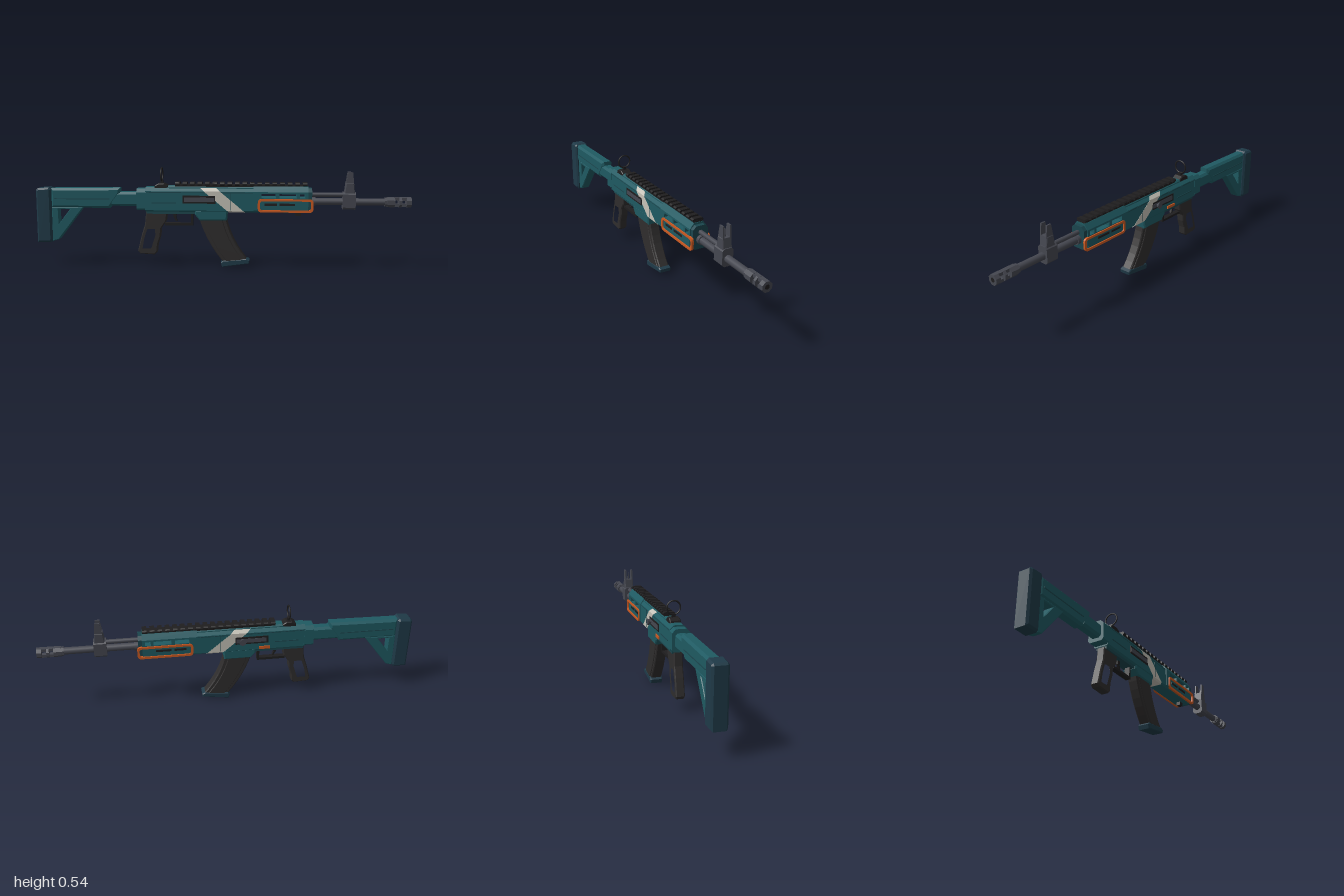
import * as THREE from 'three';

const mat = (name, color) => {
  const m = new THREE.MeshStandardMaterial({ color });
  m.name = name;
  return m;
};

export function createModel() {
  const teal = mat('teal', 0x1f5a62);
  const darkTeal = mat('dark teal', 0x1b464e);
  const navy = mat('navy', 0x1f3a48);
  const black = mat('black', 0x2f2d2d);
  const railBlack = mat('rail black', 0x1f1e1f);
  const steel = mat('gunmetal', 0x454750);
  const orange = mat('orange', 0xcc5a22);
  const pale = mat('pale grey', 0xc6c3b8);

  const root = new THREE.Group();
  root.name = 'rifle';
  const add = (name, geo, material, x = 0, y = 0, z = 0) => {
    const m = new THREE.Mesh(geo, material);
    m.name = name;
    m.position.set(x, y, z);
    root.add(m);
    return m;
  };
  const box = (name, material, x0, x1, y0, y1, z0, z1) =>
    add(name, new THREE.BoxGeometry(x1 - x0, y1 - y0, z1 - z0), material,
      (x0 + x1) / 2, (y0 + y1) / 2, (z0 + z1) / 2);
  const toShape = pts => new THREE.Shape(pts.map(p => new THREE.Vector2(p[0], p[1])));

  // side outline, given width across z, with a small chamfer
  const plate = (name, material, outline, width, bevel = 0.006, hole = null, z = 0) => {
    const s = Array.isArray(outline) ? toShape(outline) : outline;
    if (hole) s.holes.push(toShape(hole));
    const g = new THREE.ExtrudeGeometry(s, {
      depth: width - 2 * bevel, bevelEnabled: bevel > 0, bevelSize: bevel,
      bevelThickness: bevel, bevelOffset: -bevel, bevelSegments: 1, curveSegments: 6,
    });
    g.translate(0, 0, bevel - width / 2);
    return add(name, g, material, 0, 0, z);
  };

  // chamfered cross-section swept along x
  const section = (w, y0, y1, top, bottom) => [
    [-w + bottom, y0], [w - bottom, y0], [w, y0 + bottom], [w, y1 - top],
    [w - top, y1], [-w + top, y1], [-w, y1 - top], [-w, y0 + bottom]];
  const prism = (name, material, x0, x1, pts) => {
    const g = new THREE.ExtrudeGeometry(toShape(pts), { depth: x1 - x0, bevelEnabled: false });
    g.rotateY(Math.PI / 2);
    return add(name, g, material, x0);
  };
  const rod = (name, material, x0, x1, y, r) => {
    const g = new THREE.CylinderGeometry(r, r, x1 - x0, 16);
    g.rotateZ(-Math.PI / 2);
    return add(name, g, material, (x0 + x1) / 2, y, 0);
  };

  // Stock
  plate('buttPad', navy, [[-1, 0.125], [-0.925, 0.125], [-0.918, 0.14], [-0.918, 0.415],
    [-0.93, 0.425], [-0.99, 0.42], [-1, 0.41]], 0.08, 0.01);
  plate('stockBody', teal, [[-0.92, 0.315], [-0.6, 0.315], [-0.543, 0.395], [-0.543, 0.425],
    [-0.92, 0.42]], 0.064, 0.012);
  plate('stockStrut', teal, [[-0.92, 0.32], [-0.745, 0.32], [-0.885, 0.14], [-0.92, 0.13]], 0.052, 0.004,
    [[-0.882, 0.306], [-0.882, 0.225], [-0.82, 0.306]]);
  for (const s of [-1, 1]) box('stockGroove', darkTeal, -0.9, -0.6, 0.362, 0.367, s * 0.032 - 0.002, s * 0.032 + 0.002);
  prism('bufferTube', teal, -0.59, -0.44, section(0.03, 0.327, 0.402, 0.012, 0.012));
  prism('rearCollar', teal, -0.452, -0.4, section(0.045, 0.308, 0.422, 0.018, 0.01));

  // Receiver
  prism('receiver', teal, -0.405, 0.172, section(0.043, 0.3, 0.43, 0.02, 0.008));
  prism('topCover', teal, -0.29, 0.172, section(0.028, 0.42, 0.438, 0.008, 0.001));
  box('lowerRail', darkTeal, -0.4, -0.13, 0.287, 0.302, -0.03, 0.03);
  plate('magazineWell', teal, [[-0.14, 0.31], [0.035, 0.31], [0.03, 0.255], [-0.115, 0.255], [-0.14, 0.285]], 0.08, 0.006);
  box('receiverSeam', darkTeal, 0.05, 0.054, 0.31, 0.405, -0.0445, 0.0445);
  box('coverSeam', darkTeal, -0.4, 0.17, 0.402, 0.406, -0.0438, 0.0438);

  // slanted stripe wrapped around the receiver
  const stripe = prism('slantedStripe', pale, -0.043, 0.043,
    section(0.0442, 0.2988, 0.4312, 0.02, 0.008));
  stripe.geometry.applyMatrix4(new THREE.Matrix4().set(
    1, -1.2, 0, 1.2 * 0.368, 0, 1, 0, 0, 0, 0, 1, 0, 0, 0, 0, 1));
  stripe.geometry.computeVertexNormals();
  stripe.position.x = -0.04;

  // Bolt, charging handle and selector
  for (const s of [-1, 1]) {
    box('ejectionPort', railBlack, -0.205, -0.03, 0.346, 0.388, s * 0.043 - 0.003, s * 0.043 + 0.003);
    box('boltCarrier', steel, -0.195, -0.035, 0.355, 0.378, s * 0.045 - 0.003, s * 0.045 + 0.003);
    box('lowerPanel', darkTeal, -0.37, -0.24, 0.345, 0.35, s * 0.043 - 0.002, s * 0.043 + 0.002);
  }
  const handle = add('chargingHandle', new THREE.CylinderGeometry(0.007, 0.007, 0.022, 10), steel, -0.065, 0.367, -0.05);
  const knob = add('chargingKnob', new THREE.CylinderGeometry(0.018, 0.014, 0.011, 12), steel, -0.065, 0.367, -0.0615);
  handle.rotation.x = knob.rotation.x = -Math.PI / 2;
  box('selector', orange, -0.215, -0.155, 0.31, 0.326, -0.048, -0.042);

  // Handguard with open side slots
  prism('handguardLower', teal, 0.172, 0.46, [[-0.035, 0.3], [0.035, 0.3], [0.047, 0.312], [0.047, 0.378], [-0.047, 0.378], [-0.047, 0.312]]);
  prism('handguardUpper', teal, 0.172, 0.46, [[-0.047, 0.4], [0.047, 0.4], [0.047, 0.41], [0.026, 0.438], [-0.026, 0.438], [-0.047, 0.41]]);
  for (const [a, b] of [[0.172, 0.215], [0.29, 0.308], [0.4, 0.415], [0.445, 0.46]])
    box('handguardRib', teal, a, b, 0.375, 0.402, -0.047, 0.047);
  // cap is two blocks so the barrel and gas tube enter solid ends
  prism('handguardCap', darkTeal, 0.455, 0.48, section(0.042, 0.306, 0.428, 0.018, 0.012));
  const roundRect = (Outline, x0, x1, y0, y1, r) => {
    const s = new Outline();
    s.moveTo(x0 + r, y0);
    s.lineTo(x1 - r, y0).quadraticCurveTo(x1, y0, x1, y0 + r);
    s.lineTo(x1, y1 - r).quadraticCurveTo(x1, y1, x1 - r, y1);
    s.lineTo(x0 + r, y1).quadraticCurveTo(x0, y1, x0, y1 - r);
    s.lineTo(x0, y0 + r).quadraticCurveTo(x0, y0, x0 + r, y0);
    return s;
  };
  for (const s of [-1, 1]) {
    const frame = roundRect(THREE.Shape, 0.195, 0.487, 0.303, 0.374, 0.022);
    frame.holes.push(roundRect(THREE.Path, 0.207, 0.475, 0.315, 0.362, 0.014));
    plate('handguardFrame', orange, frame, 0.012, 0, null, s * 0.047);
    for (const [a, b] of [[0.23, 0.295], [0.31, 0.39]])
      box('handguardVent', railBlack, a, b, 0.338, 0.35, s * 0.047 - 0.002, s * 0.047 + 0.002);
  }
  box('slingHook', railBlack, 0.395, 0.425, 0.28, 0.302, -0.012, 0.012);

  // Top rail
  box('railBase', railBlack, -0.245, 0.457, 0.434, 0.445, -0.024, 0.024);
  for (let i = 0; i < 18; i++) {
    const x = -0.245 + i * 0.0398;
    prism('railTooth', railBlack, x, x + 0.024, section(0.03, 0.44, 0.457, 0.006, 0.004));
  }

  // Rear ring sight
  plate('rearSightBase', railBlack, [[-0.36, 0.42], [-0.28, 0.42], [-0.285, 0.438], [-0.305, 0.45],
    [-0.335, 0.45], [-0.355, 0.438]], 0.056, 0.004);
  const ring = add('rearSightRing', new THREE.TorusGeometry(0.0345, 0.004, 8, 32), railBlack, -0.32, 0.497, 0);
  ring.rotation.y = Math.PI / 2;
  box('rearSightStem', railBlack, -0.327, -0.313, 0.445, 0.466, -0.009, 0.009);

  // Barrel, gas tube and octagonal muzzle with side openings
  rod('barrel', steel, 0.3, 0.87, 0.357, 0.019);
  rod('gasTube', steel, 0.46, 0.65, 0.394, 0.012);
  rod('barrelCollar', steel, 0.48, 0.5, 0.357, 0.024);
  for (const [a, b, r] of [[0.862, 0.875, 0.023], [0.875, 0.914, 0.026], [0.936, 0.95, 0.026], [0.975, 1, 0.026]])
    prism('muzzleRing', steel, a, b, section(r, 0.357 - r, 0.357 + r, r * 0.586, r * 0.586));
  for (const s of [-1, 1])
    box('muzzleBar', steel, 0.91, 0.98, 0.357 + s * 0.017 - 0.008, 0.357 + s * 0.017 + 0.008, -0.012, 0.012);
  rod('bore', railBlack, 0.99, 1.0005, 0.357, 0.012);

  // Front sight
  prism('frontSightBlock', steel, 0.642, 0.709, section(0.03, 0.317, 0.408, 0.01, 0.012));
  plate('frontSightTower', steel, [[0.65, 0.4], [0.705, 0.4], [0.698, 0.457], [0.657, 0.457]], 0.05, 0.003);
  for (const s of [-1, 1])
    plate('frontSightProng', steel, [[0.657, 0.45], [0.699, 0.45], [0.692, 0.514], [0.667, 0.514]], 0.008, 0, null, s * 0.019);
  add('frontSightPost', new THREE.CylinderGeometry(0.002, 0.005, 0.042, 8), steel, 0.678, 0.475, 0);

  // Open-frame grip
  plate('grip', black, [[-0.405, 0.295], [-0.29, 0.295], [-0.297, 0.245], [-0.325, 0.205], [-0.328, 0.165],
    [-0.343, 0.12], [-0.348, 0.075], [-0.362, 0.062], [-0.44, 0.066], [-0.452, 0.082], [-0.43, 0.17], [-0.412, 0.225]],
    0.046, 0.005, [[-0.405, 0.203], [-0.395, 0.208], [-0.354, 0.208], [-0.35, 0.17], [-0.375, 0.092], [-0.432, 0.09], [-0.422, 0.15]]);

  // Trigger and guard
  box('triggerGuardBottom', railBlack, -0.305, -0.152, 0.222, 0.235, -0.014, 0.014);
  box('triggerGuardFront', railBlack, -0.164, -0.152, 0.222, 0.295, -0.014, 0.014);
  plate('trigger', railBlack, [[-0.262, 0.295], [-0.238, 0.295], [-0.244, 0.265], [-0.236, 0.246], [-0.246, 0.244], [-0.258, 0.268]], 0.014, 0.001);

  // Curved magazine
  const magazine = inset => {
    const s = new THREE.Shape();
    s.moveTo(-0.12 + inset, 0.275);
    s.quadraticCurveTo(-0.085 + inset, 0.145, 0.008 + inset, 0.03);
    s.lineTo(0.138 - inset, 0.042);
    s.quadraticCurveTo(0.05 - inset, 0.15, 0.026 - inset, 0.275);
    return s;
  };
  plate('magazine', black, magazine(0), 0.056, 0.005);
  plate('magazineSidePanels', black, magazine(0.022), 0.064, 0.003);
  plate('magazineBase', navy, [[0.006, 0], [0.15, 0.02], [0.152, 0.038], [0.135, 0.046], [0.008, 0.034], [-0.002, 0.022]], 0.066, 0.004);

  // offset that balances the knob on one side
  root.children.forEach(m => { m.position.z += 0.007; });
  return root;
}
